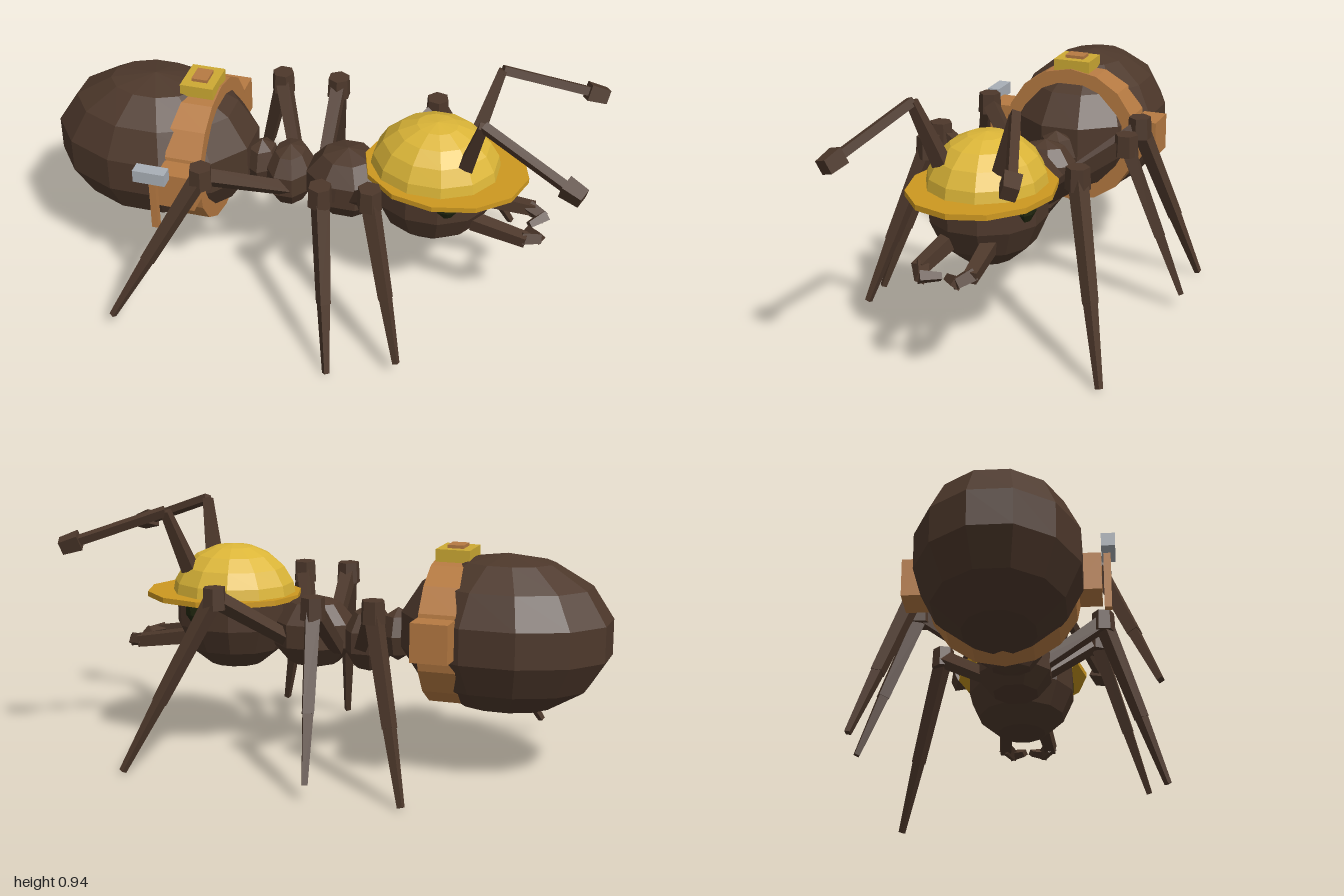
import * as THREE from 'three';

export function createModel() {
  const model = new THREE.Group();
  const mat = (name, color) => {
    const m = new THREE.MeshStandardMaterial({ color, flatShading: true });
    m.name = name;
    return m;
  };
  const brown = mat('antBrown', 0x4d382b);
  const eyeGreen = mat('eyeDarkGreen', 0x20260f);
  const yellow = mat('helmetYellow', 0xdcb638);
  const gold = mat('brimGold', 0xcd9820);
  const leather = mat('beltLeather', 0xb67a42);
  const brass = mat('buckleBrass', 0xcdaa33);
  const orange = mat('crestOrange', 0xd89a25);
  const steel = mat('hammerSteel', 0xa9afb6);

  const add = (name, geometry, material, pos, parent = model) => {
    const mesh = new THREE.Mesh(geometry, material);
    mesh.name = name;
    mesh.position.set(...pos);
    parent.add(mesh);
    return mesh;
  };
  const box = (name, size, pos, material, parent) =>
    add(name, new THREE.BoxGeometry(...size), material, pos, parent);
  // Faceted ellipsoid turned so that flat sides face the axes
  const blob = (name, radii, pos, material, segs, rings, sweep = Math.PI) => {
    const g = new THREE.SphereGeometry(1, segs, rings, 0, Math.PI * 2, 0, sweep);
    g.rotateY(Math.PI / segs);
    g.scale(...radii);
    return add(name, g, material, pos);
  };
  // Square tapered beam between two points
  const beam = (name, a, b, r1, r2, parent, material = brown) => {
    const from = new THREE.Vector3(...a), to = new THREE.Vector3(...b);
    const dir = to.clone().sub(from);
    const g = new THREE.CylinderGeometry(r2, r1, dir.length(), 4);
    g.rotateY(Math.PI / 4);
    const mesh = add(name, g, material, from.clone().add(to).multiplyScalar(0.5).toArray(), parent);
    mesh.quaternion.setFromUnitVectors(new THREE.Vector3(0, 1, 0), dir.normalize());
    return mesh;
  };
  const mix = (a, b, t) => a.map((v, i) => v + (b[i] - v) * t);
  const group = (name) => {
    const g = new THREE.Group();
    g.name = name;
    model.add(g);
    return g;
  };

  // Body segments
  blob('abdomen', [0.393, 0.29, 0.295], [-0.62, 0.515, 0], brown, 12, 7);
  blob('petiole', [0.07, 0.1, 0.08], [-0.215, 0.48, 0], brown, 6, 4);
  blob('waist', [0.095, 0.125, 0.125], [-0.105, 0.455, 0], brown, 8, 5);
  blob('thorax', [0.165, 0.14, 0.15], [0.115, 0.465, 0], brown, 8, 5);
  blob('head', [0.23, 0.23, 0.215], [0.435, 0.53, 0], brown, 12, 7);

  // Hard hat
  blob('helmetDome', [0.24, 0.205, 0.215], [0.44, 0.573, 0], yellow, 12, 5, Math.PI / 2);
  blob('helmetCrest', [0.217, 0.203, 0.035], [0.44, 0.573, 0], orange, 12, 8);
  const brim = new THREE.CylinderGeometry(1, 1, 0.02, 12);
  brim.scale(0.3, 1, 0.257);
  add('helmetBrim', brim, gold, [0.48, 0.587, 0]);

  // Eyes, antennae and mandibles, mirrored
  for (const s of [1, -1]) {
    const side = s > 0 ? 'left' : 'right';
    blob(side + 'Eye', [0.052, 0.055, 0.035], [0.51, 0.55, s * 0.172], eyeGreen, 8, 5);

    const antenna = group(side + 'Antenna');
    const elbow = [0.63, 0.915, s * 0.185], tip = [0.95, 0.8, s * 0.305];
    beam('antennaBase', [0.57, 0.69, s * 0.11], elbow, 0.036, 0.022, antenna);
    beam('antennaTip', elbow, tip, 0.022, 0.022, antenna);
    beam('antennaKnob', mix(elbow, tip, 0.93), [0.995, 0.785, s * 0.318], 0.042, 0.036, antenna);

    const jaw = group(side + 'Mandible');
    const bend = [0.8, 0.395, s * 0.095];
    beam('mandibleBase', [0.6, 0.425, s * 0.075], bend, 0.036, 0.03, jaw);
    beam('mandibleMiddle', mix([0.6, 0.425, s * 0.075], bend, 0.9), [0.845, 0.385, s * 0.06], 0.03, 0.024, jaw);
    beam('mandibleTip', [0.845, 0.39, s * 0.07], [0.795, 0.38, s * 0.012], 0.026, 0.016, jaw);
  }

  // Legs: hip, knee and foot of each, in a walking pose
  const legs = [
    ['leftBackLeg', [-0.07, 0.42, 0.06], [-0.34, 0.62, 0.33], [-0.645, 0.055, 0.52]],
    ['leftMiddleLeg', [0.07, 0.42, 0.06], [0.1, 0.63, 0.335], [0.183, 0.005, 0.555]],
    ['leftFrontLeg', [0.15, 0.42, 0.06], [0.27, 0.63, 0.305], [0.425, 0.055, 0.49]],
    ['rightBackLeg', [-0.09, 0.42, -0.06], [-0.23, 0.63, -0.33], [-0.4, 0.005, -0.53]],
    ['rightMiddleLeg', [0, 0.42, -0.06], [-0.015, 0.63, -0.35], [-0.063, 0.055, -0.56]],
    ['rightFrontLeg', [0.15, 0.42, -0.06], [0.38, 0.63, -0.31], [0.67, 0.005, -0.5]],
  ];
  for (const [name, hip, knee, foot] of legs) {
    const leg = group(name);
    const ankle = mix(knee, foot, 0.6);
    beam('thigh', hip, knee, 0.03, 0.036, leg);
    const joint = add('knee', new THREE.CylinderGeometry(0.042, 0.046, 0.08, 6), brown, knee, leg);
    joint.rotation.y = Math.atan2(knee[0] - hip[0], knee[2] - hip[2]);
    beam('shin', knee, ankle, 0.036, 0.028, leg);
    beam('foot', mix(knee, foot, 0.57), foot, 0.026, 0.014, leg);
  }

  // Tool belt around the abdomen
  const belt = new THREE.CylinderGeometry(1, 1, 0.135, 16);
  belt.rotateZ(Math.PI / 2);
  belt.scale(1, 0.268, 0.272);
  add('belt', belt, leather, [-0.435, 0.515, 0]);
  box('leftPouch', [0.135, 0.14, 0.09], [-0.435, 0.535, 0.295], leather);
  box('rightPouch', [0.135, 0.14, 0.09], [-0.435, 0.535, -0.305], leather);
  box('buckle', [0.125, 0.045, 0.145], [-0.437, 0.793, 0], brass);
  box('buckleCentre', [0.06, 0.02, 0.075], [-0.437, 0.817, 0], leather);

  // Hammer hanging on the belt
  const hammer = group('hammer');
  box('hammerHandle', [0.025, 0.22, 0.025], [-0.51, 0.495, 0.36], leather, hammer);
  box('hammerHead', [0.12, 0.048, 0.048], [-0.515, 0.615, 0.365], steel, hammer);

  return model;
}
